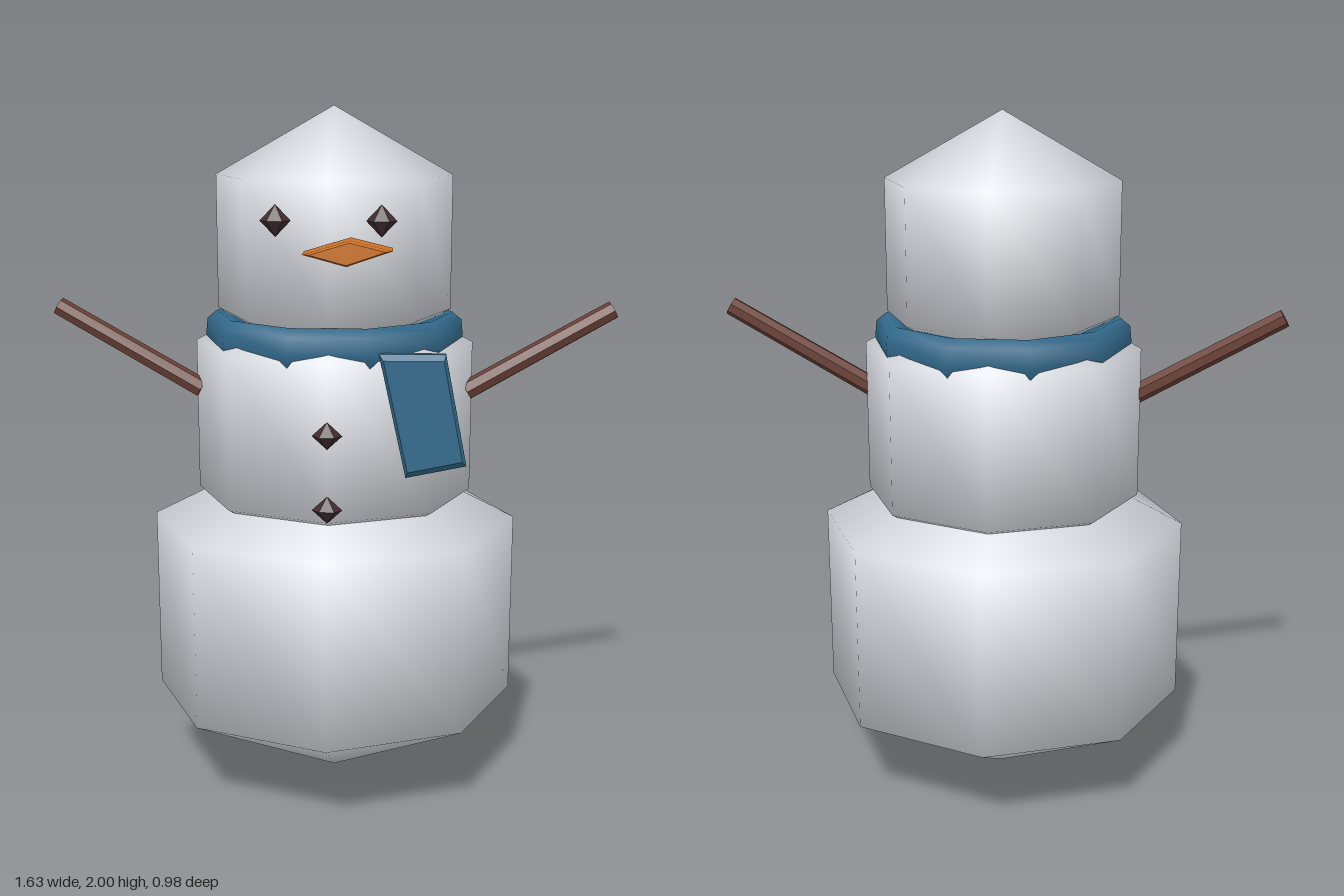
import * as THREE from 'three';
import { ConvexGeometry } from 'three/addons/geometries/ConvexGeometry.js';

const mat = (name, color, flatShading = false) => {
  const m = new THREE.MeshStandardMaterial({ color, flatShading });
  m.name = name;
  return m;
};

export function createModel() {
  const model = new THREE.Group();
  model.name = 'snowman';
  const snow = mat('snow', 0xd5d8de);
  const wool = mat('blue wool', 0x336a8c);
  const wood = mat('brown wood', 0x6b4238, true);
  const coal = mat('dark coal', 0x402c30, true);
  const carrot = mat('orange carrot', 0xcc742c, true);

  const add = (name, geometry, material) => {
    const mesh = new THREE.Mesh(geometry, material);
    mesh.name = name;
    model.add(mesh);
    return mesh;
  };

  // Low-poly ball squashed along each axis
  const ball = (name, material, sides, rings, radii, position) => {
    const g = new THREE.SphereGeometry(1, sides, rings).scale(...radii);
    add(name, g, material).position.set(...position);
  };

  // Slab with a convex outline in xy and bevelled front and back rims
  const slab = (name, material, corners, z0, z1, bevel, inset) => {
    const cx = corners.reduce((s, c) => s + c[0], 0) / corners.length;
    const cy = corners.reduce((s, c) => s + c[1], 0) / corners.length;
    const points = [];
    for (const [z, k] of [[z0, inset], [z0 + bevel, 1], [z1 - bevel, 1], [z1, inset]]) {
      for (const [x, y] of corners) {
        points.push(new THREE.Vector3(cx + (x - cx) * k, cy + (y - cy) * k, z));
      }
    }
    add(name, new ConvexGeometry(points), material);
  };

  // Three stacked snowballs
  ball('lowerBody', snow, 8, 3, [0.615, 0.54, 0.565], [0, 0.54, 0]);
  ball('upperBody', snow, 8, 3, [0.462, 0.44, 0.433], [0, 1.115, 0]);
  ball('head', snow, 8, 3, [0.387, 0.38, 0.373], [0, 1.62, 0]);

  // Scarf ring, partly sunk into the shoulders
  const profile = [
    [0.28, 1.33], [0.31, 1.28], [0.355, 1.295], [0.372, 1.35],
    [0.367, 1.4], [0.34, 1.422], [0.29, 1.41], [0.28, 1.33],
  ].map(([r, y]) => new THREE.Vector2(r, y));
  const ring = new THREE.LatheGeometry(profile, 10, Math.PI / 2);
  add('scarfRing', ring, wool).scale.z = 0.965;

  // Hanging end of the scarf
  slab('scarfTail', wool,
    [[0.135, 1.357], [0.315, 1.357], [0.375, 1.05], [0.21, 1.015]], 0.298, 0.347, 0.014, 0.9);

  // Nose
  slab('nose', carrot,
    [[-0.065, 1.63], [0.06, 1.667], [0.17, 1.64], [0.05, 1.599]], 0.315, 0.425, 0.014, 0.85);

  // Eyes and buttons
  for (const [name, side] of [['leftEye', 1], ['rightEye', -1]]) {
    ball(name, coal, 6, 2, [0.041, 0.043, 0.028], [side * 0.14, 1.71, 0.33]);
  }
  [1.15, 0.945].forEach((y, i) => {
    ball(i ? 'lowerButton' : 'upperButton', coal, 6, 2, [0.041, 0.038, 0.028], [0, y, 0.415]);
  });

  // Stick arms
  for (const [name, side] of [['leftArm', 1], ['rightArm', -1]]) {
    const start = new THREE.Vector3(side * 0.385, 1.195, 0.02);
    const end = new THREE.Vector3(side * 0.8, 1.432, 0.008);
    const dir = end.clone().sub(start);
    const arm = add(name, new THREE.CylinderGeometry(0.027, 0.029, dir.length(), 7), wood);
    arm.position.copy(start).add(end).multiplyScalar(0.5);
    arm.quaternion.setFromUnitVectors(new THREE.Vector3(0, 1, 0), dir.normalize());
  }

  return model;
}
